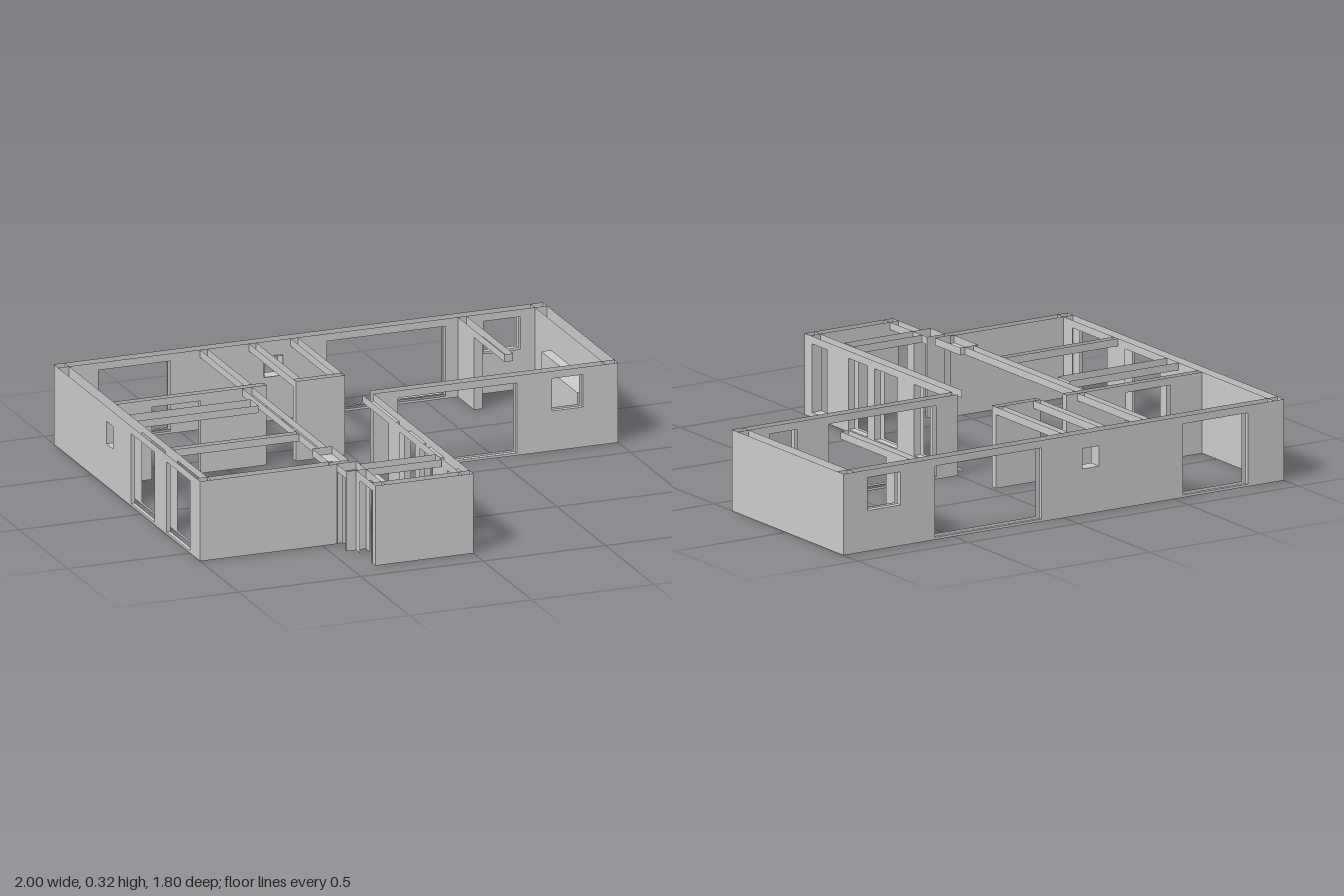
import * as THREE from 'three';
import { mergeGeometries } from 'three/addons/utils/BufferGeometryUtils.js';

const H = 0.32;   // wall height
const L = 0.29;   // underside of door and window heads
const material = new THREE.MeshStandardMaterial({ color: 0xcccccc, side: THREE.DoubleSide, flatShading: true });

// Flat rectangle at a position on its axis, facing along +axis or (sign -1) -axis
function sheet(axis, u0, u1, v0, v1, at, sign = 1) {
  const g = new THREE.PlaneGeometry(u1 - u0, v1 - v0);
  if (sign < 0) g.rotateY(Math.PI);
  const u = (u0 + u1) / 2, v = (v0 + v1) / 2;
  if (axis === 'z') return g.translate(u, v, at);                       // u = x, v = y
  if (axis === 'x') return g.rotateY(Math.PI / 2).translate(at, v, u);  // u = z, v = y
  return g.rotateX(-Math.PI / 2).translate(u, at, v);                   // u = x, v = z
}

function addMesh(group, name, parts) {
  const mesh = new THREE.Mesh(mergeGeometries(parts), material);
  mesh.name = name;
  group.add(mesh);
}

// Hollow wall with open top, running along x or z between two faces.
// Each opening is [start, end, bottom, top, reveal depth].
function wall(group, name, along, from, to, face, back, openings = [], closed = true) {
  const normal = along === 'x' ? 'z' : 'x';
  const inward = Math.sign(back - face);
  const parts = [];

  // Both sides of the wall, left open at the openings
  for (const [at, sign] of [[face, -inward], [back, inward]]) {
    let cursor = from;
    for (const [a, b, y0, y1] of openings) {
      if (a > cursor) parts.push(sheet(normal, cursor, a, 0, H, at, sign));
      if (y0 > 0) parts.push(sheet(normal, a, b, 0, y0, at, sign));
      parts.push(sheet(normal, a, b, y1, H, at, sign));
      cursor = b;
    }
    if (cursor < to) parts.push(sheet(normal, cursor, to, 0, H, at, sign));
  }

  // Reveals: head, sill, and jambs where solid wall adjoins
  const touching = (e) => openings.filter(([a, b]) => a === e || b === e).length;
  for (const [a, b, y0, y1, depth] of openings) {
    if (!depth) continue;
    const end = face + inward * depth;
    const p = Math.min(face, end), q = Math.max(face, end);
    for (const y of y0 > 0 ? [y0, y1] : [y1]) {
      parts.push(along === 'x' ? sheet('y', a, b, p, q, y) : sheet('y', p, q, a, b, y));
    }
    for (const e of [a, b]) {
      if (e > from && e < to && touching(e) === 1) parts.push(sheet(along, p, q, y0, y1, e));
    }
  }

  // Ends of partitions
  if (closed) {
    const p = Math.min(face, back), q = Math.max(face, back);
    parts.push(sheet(along, p, q, touching(from) ? L : 0, H, from, -1));
    parts.push(sheet(along, p, q, touching(to) ? L : 0, H, to));
  }
  addMesh(group, name, parts);
}

// Header beam without anything below it
function beam(group, name, along, from, to, face, back) {
  wall(group, name, along, from, to, face, back, [[from, to, 0, L, 0]]);
}

// Counter against the right wall: top and front
function counter(group, name, x, z0, z1, y) {
  addMesh(group, name, [
    sheet('y', x, 0.95, z0, z1, y),
    sheet('x', z0, z1, 0, y, x, -1),
    sheet('z', x, 0.95, 0, y, z0, -1),
    sheet('z', x, 0.95, 0, y, z1),
  ]);
}

export function createModel() {
  const house = new THREE.Group();
  house.name = 'floorPlanWalls';

  // Outer walls
  const outer = new THREE.Group();
  outer.name = 'outerWalls';
  house.add(outer);
  wall(outer, 'backWall', 'x', -1, 1, -0.9, -0.855, [
    [-0.835, -0.54, 0.01, L, 0.015],
    [-0.16, -0.085, 0.18, 0.26, 0.055],
    [0.1, 0.585, 0.01, L, 0.015],
    [0.74, 0.89, 0.16, L, 0.025],
  ], false);
  wall(outer, 'rightWall', 'z', -0.9, -0.125, 1, 0.95, [], false);
  wall(outer, 'frontWall', 'x', 0, 1, -0.125, -0.165, [
    [0.1, 0.585, 0.01, L, 0.02],
    [0.73, 0.855, 0.16, L, 0.02],
  ], false);
  wall(outer, 'wingWindowWall', 'z', -0.125, 0.9, 0, -0.045, [
    [-0.125, 0.14, 0.01, L, 0.03],
    [0.26, 0.415, 0.01, L, 0.03],
    [0.465, 0.595, 0.01, L, 0.03],
    [0.745, 0.85, 0.02, L, 0.045],
  ], false);
  wall(outer, 'wingFrontWall', 'x', -0.4, 0, 0.9, 0.86, [], false);
  wall(outer, 'wingSideWall', 'z', 0.7, 0.9, -0.4, -0.36, [[0.74, 0.87, 0, L, 0]], false);
  wall(outer, 'entrance', 'z', 0.6, 0.7, -0.36, -0.44, [[0.61, 0.69, 0, L, 0.06]]);
  wall(outer, 'bedroomFrontWall', 'x', -1, -0.44, 0.605, 0.565, [], false);
  wall(outer, 'leftWall', 'z', -0.9, 0.605, -1, -0.955, [
    [-0.36, -0.29, 0.17, 0.26, 0.03],
    [-0.105, 0.135, 0.01, L, 0.015],
    [0.26, 0.5, 0.01, L, 0.015],
  ], false);

  // Inner partitions
  const inner = new THREE.Group();
  inner.name = 'partitions';
  house.add(inner);
  wall(inner, 'backBedroomWall', 'x', -0.955, -0.34, -0.4, -0.37, [[-0.81, -0.61, 0, L, 0]]);
  beam(inner, 'backHallBeam', 'z', -0.855, -0.4, -0.42, -0.39);
  wall(inner, 'toiletFrontWall', 'x', -0.22, -0.02, -0.4, -0.37);
  beam(inner, 'toiletRightBeam', 'z', -0.855, -0.4, -0.05, -0.02);
  beam(inner, 'toiletLeftBeam', 'z', -0.855, -0.4, -0.22, -0.19);
  wall(inner, 'bathroomOpening', 'x', -0.955, -0.46, -0.235, -0.155, [
    [-0.955, -0.67, 0, L, 0.08],
    [-0.67, -0.46, 0, L, 0],
  ]);
  beam(inner, 'bedroomDividerBeam', 'x', -0.955, -0.44, 0.185, 0.215);
  beam(inner, 'hallBeam', 'z', -0.37, 0.4, -0.44, -0.4);
  wall(inner, 'bedroomDoor', 'z', 0.4, 0.575, -0.46, -0.38, [[0.4, 0.575, 0, L, 0.08]]);
  wall(inner, 'lobbyOpening', 'x', -0.36, -0.05, 0.635, 0.7, [
    [-0.36, -0.2, 0, L, 0],
    [-0.2, -0.05, 0, L, 0.065],
  ]);
  wall(inner, 'sideRoomWall', 'z', -0.855, -0.375, 0.635, 0.67, [[-0.69, -0.375, 0, L, 0.035]]);

  // Stepped counter along the right wall
  counter(inner, 'narrowCounter', 0.91, -0.69, -0.44, 0.2);
  counter(inner, 'wideCounter', 0.855, -0.44, -0.18, 0.2);

  return house;
}
